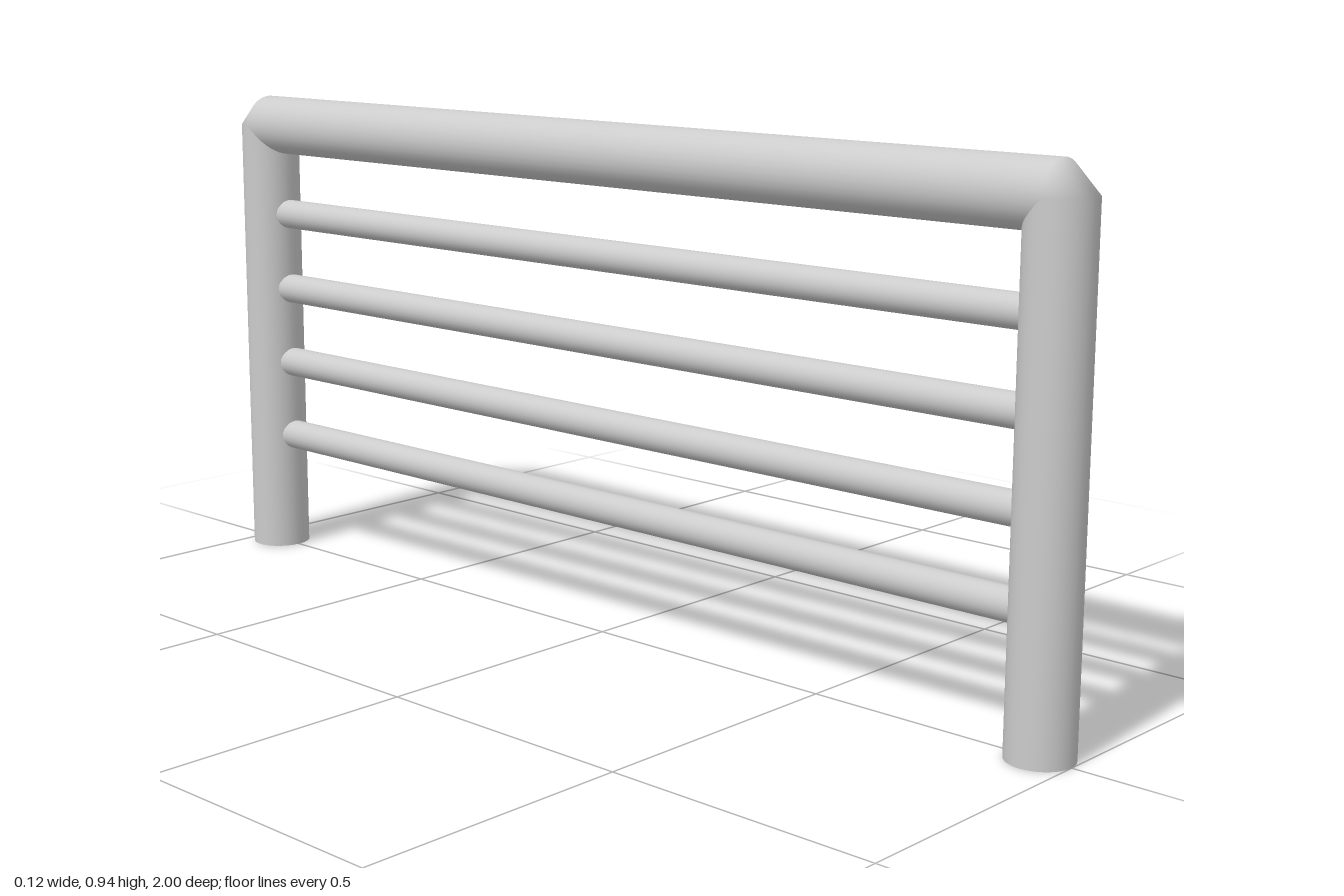
import * as THREE from 'three';

const R = 0.0575, TOP = 0.88, Z = 0.9425, SIDES = 32;

// Sweeps a circle through a list of rings; each ring lies in the plane of x and its "out" direction.
function sweepRings(rings) {
  const pos = [], nor = [], idx = [];
  for (const { y, z, out } of rings) {
    for (let i = 0; i <= SIDES; i++) {
      const a = (i / SIDES) * Math.PI * 2, c = Math.cos(a), s = Math.sin(a);
      const n = [s, c * out[0], c * out[1]];
      pos.push(n[0] * R, y + n[1] * R, z + n[2] * R);
      nor.push(...n);
    }
  }
  const row = SIDES + 1;
  for (let r = 0; r < rings.length - 1; r++) {
    for (let i = 0; i < SIDES; i++) {
      const a = r * row + i, b = a + row;
      idx.push(a, a + 1, b, a + 1, b + 1, b);
    }
  }
  const g = new THREE.BufferGeometry();
  g.setAttribute('position', new THREE.Float32BufferAttribute(pos, 3));
  g.setAttribute('normal', new THREE.Float32BufferAttribute(nor, 3));
  g.setIndex(idx);
  return g;
}

export function createModel() {
  const group = new THREE.Group();
  group.name = 'railing';
  const material = new THREE.MeshStandardMaterial({ color: 0xcccccc });
  const doubleSided = material.clone();
  doubleSided.side = THREE.DoubleSide;
  const add = (name, geometry, mat = material) => {
    const mesh = new THREE.Mesh(geometry, mat);
    mesh.name = name;
    group.add(mesh);
    return mesh;
  };

  // Bent tube: front leg, bevelled corner, handrail, bevelled corner, back leg
  add('frame', sweepRings([
    { y: 0, z: Z, out: [0, 1] },
    { y: TOP, z: Z, out: [0, 1] },
    { y: TOP, z: Z, out: [1, 0] },
    { y: TOP, z: -Z, out: [1, 0] },
    { y: TOP, z: -Z, out: [0, -1] },
    { y: 0, z: -Z, out: [0, -1] },
  ]), doubleSided);

  // Closed feet
  for (const side of [1, -1]) {
    const foot = add(side > 0 ? 'frontFoot' : 'backFoot', new THREE.CircleGeometry(R, SIDES));
    foot.rotation.x = Math.PI / 2;
    foot.position.z = side * Z;
  }

  // Thin horizontal bars running into the legs
  const barGeometry = new THREE.CylinderGeometry(0.029, 0.029, Z * 2, 24);
  for (let i = 0; i < 4; i++) {
    const bar = add('bar' + (i + 1), barGeometry);
    bar.rotation.x = Math.PI / 2;
    bar.position.y = 0.237 + i * 0.154;
  }
  return group;
}
